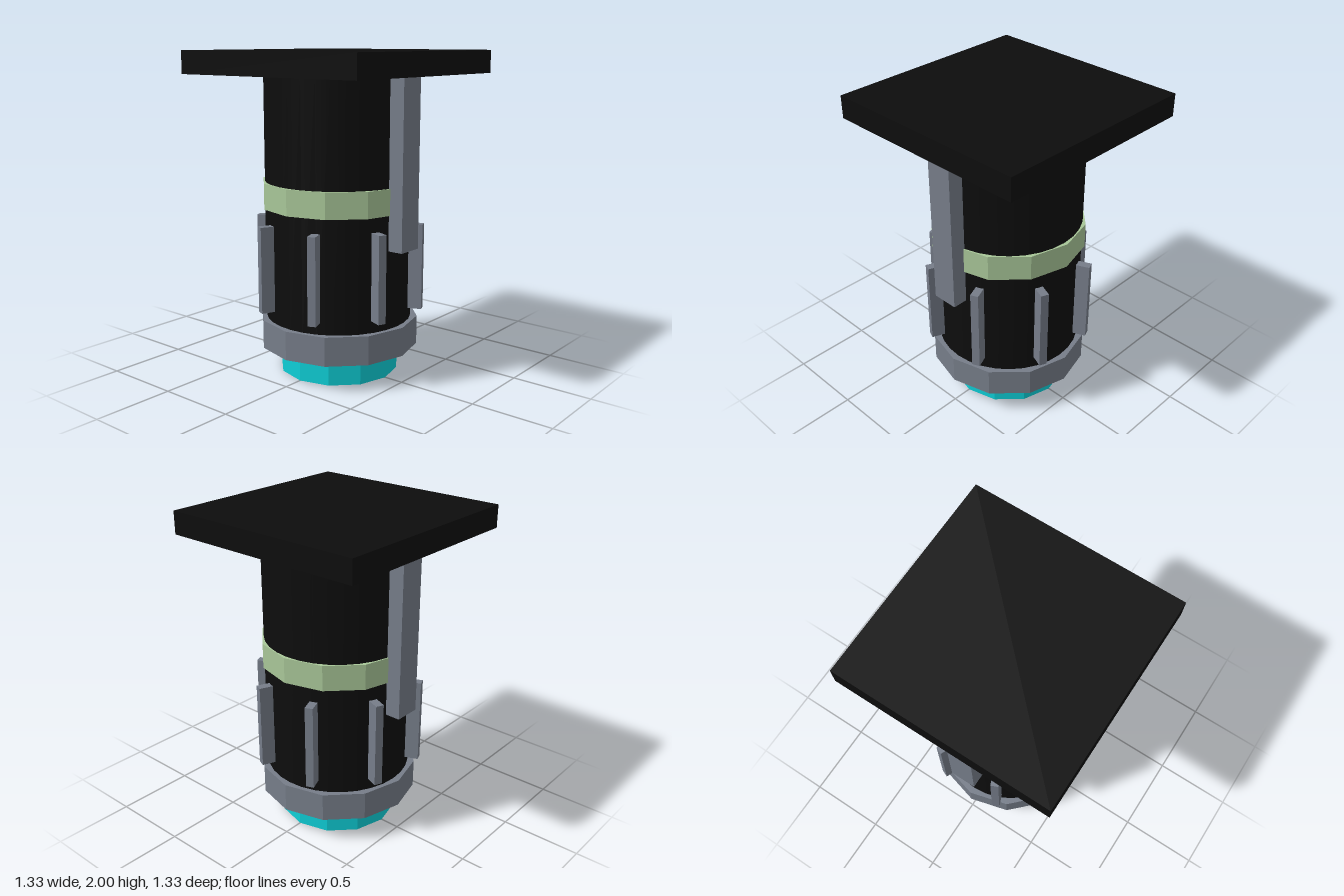
import * as THREE from 'three';

const mat = (name, color, flatShading = true) => {
  const m = new THREE.MeshStandardMaterial({ color, flatShading });
  m.name = name;
  return m;
};

export function createModel() {
  const model = new THREE.Group();
  model.name = 'ceilingLamp';
  const black = mat('black', 0x0d0d0d, false);
  const gray = mat('gray', 0x767d89);
  const green = mat('paleGreen', 0xa8c698);
  const cyan = mat('cyan', 0x0ecfd7);

  const add = (name, geometry, material, y0, y1, parent = model) => {
    const mesh = new THREE.Mesh(geometry, material);
    mesh.name = name;
    mesh.position.y = (y0 + y1) / 2;
    parent.add(mesh);
    return mesh;
  };
  const drum = (name, r, y0, y1, sides, material) =>
    add(name, new THREE.CylinderGeometry(r, r, y1 - y0, sides), material, y0, y1);
  const block = (name, w, d, y0, y1, material, parent) =>
    add(name, new THREE.BoxGeometry(w, y1 - y0, d), material, y0, y1, parent);

  // Mounting plate and round housing
  block('mountingPlate', 1.33, 1.33, 1.86, 2, black);
  drum('housing', 0.457, 0.3, 1.87, 32, black);

  // Twelve-sided bands and lens
  drum('greenBand', 0.48, 1.05, 1.21, 12, green);
  drum('lowerCollar', 0.5, 0.17, 0.35, 12, gray);
  drum('lens', 0.375, 0, 0.18, 12, cyan);

  // Long support bars on both sides
  for (const s of [-1, 1]) {
    block(s > 0 ? 'leftBar' : 'rightBar', 0.145, 0.166, 0.835, 1.86, gray).position.x = s * 0.4725;
  }

  // Ring of eight radial fins
  const fins = new THREE.Group();
  fins.name = 'coolingFins';
  for (let i = 0; i < 8; i++) {
    const a = (i + 0.5) * Math.PI / 4;
    const fin = block('coolingFin', 0.05, 0.12, 0.425, 0.96, gray, fins);
    fin.position.x = Math.sin(a) * 0.48;
    fin.position.z = Math.cos(a) * 0.48;
    fin.rotation.y = a;
  }
  model.add(fins);
  return model;
}
